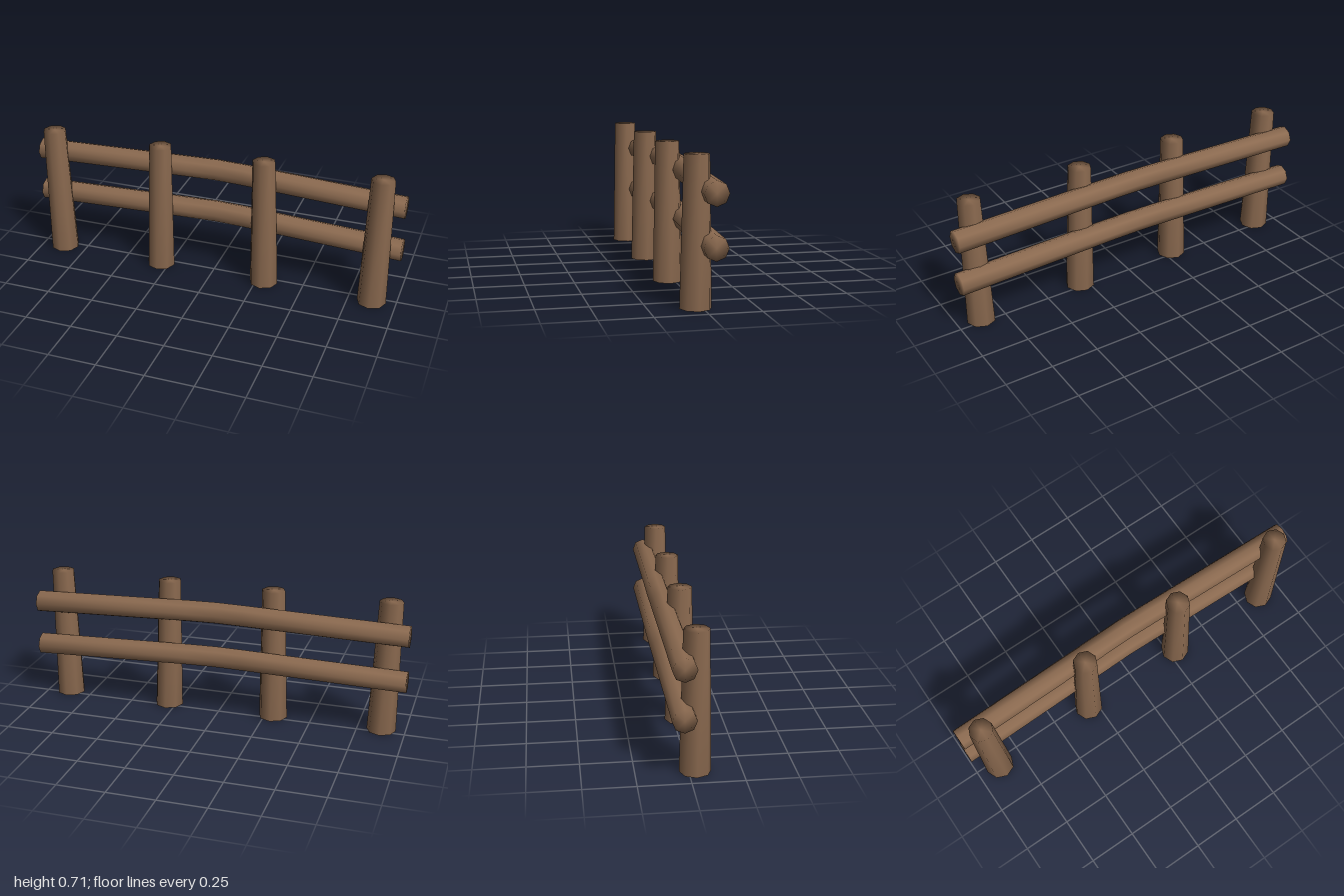
import * as THREE from 'three';
import { mergeVertices } from 'three/addons/utils/BufferGeometryUtils.js';

const wood = new THREE.MeshStandardMaterial({ color: 0x8a694f });
wood.name = 'wood brown';

// Eight-sided log through rings [x, y, z, radius], listed from its low end
// along y, or along x when `lying`; normals flow softly over the sawn ends.
function log(name, rings, lying) {
  const n = rings.length - 1;
  const geo = new THREE.CylinderGeometry(1, 1, 1, 8, n);
  const pos = geo.attributes.position;
  for (let i = 0; i < pos.count; i++) {
    const [cx, cy, cz, r] = rings[Math.round((pos.getY(i) + 0.5) * n)];
    const a = pos.getX(i) * r;
    const b = pos.getZ(i) * r;
    if (lying) pos.setXYZ(i, cx, cy - a, cz + b);
    else pos.setXYZ(i, cx + a, cy, cz + b);
  }
  geo.deleteAttribute('normal');
  geo.deleteAttribute('uv');
  const merged = mergeVertices(geo, 1e-5);
  merged.computeVertexNormals();
  const mesh = new THREE.Mesh(merged, wood);
  mesh.name = name;
  return mesh;
}

export function createModel() {
  const fence = new THREE.Group();
  fence.name = 'fence';

  // Tapered, slightly leaning posts: [bottom x, top x]
  [[-0.875, -0.89], [-0.295, -0.285], [0.29, 0.276], [0.873, 0.885]].forEach(([bottom, top], i) => {
    fence.add(log(`post${i + 1}`, [
      [bottom, 0, 0.031, 0.076],
      [top, 0.708, 0.031, 0.061],
    ], false));
  });

  // Bowed rails behind the posts
  [['lowerRail', 0], ['upperRail', 0.245]].forEach(([name, lift]) => {
    fence.add(log(name, [
      [-1, 0.31 + lift, -0.034, 0.058],
      [-0.15, 0.332 + lift, -0.044, 0.058],
      [0, 0.335 + lift, -0.046, 0.058],
      [0.15, 0.331 + lift, -0.044, 0.058],
      [1, 0.296 + lift, -0.033, 0.059],
    ], true));
  });

  return fence;
}
